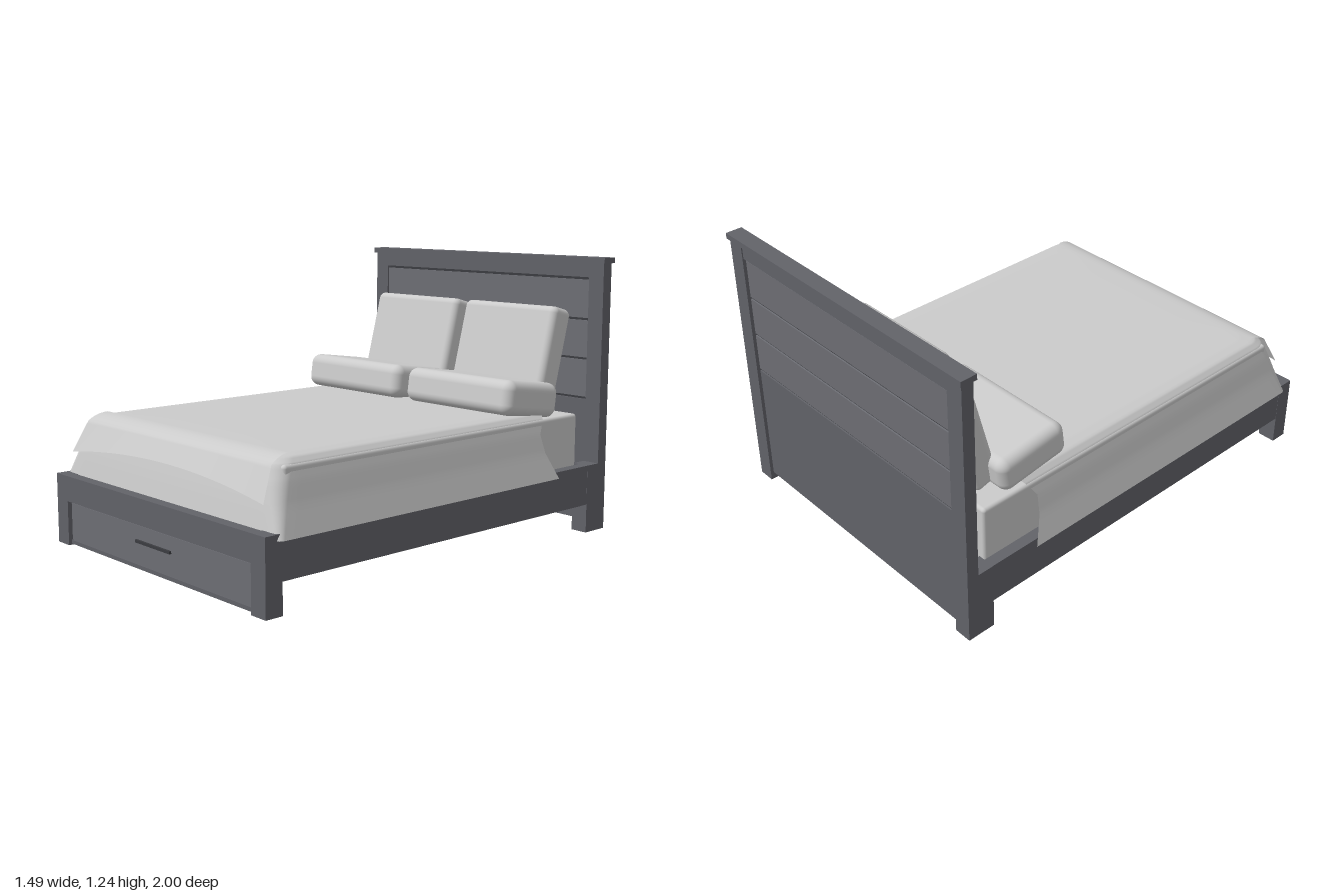
import * as THREE from 'three';
import { RoundedBoxGeometry } from 'three/addons/geometries/RoundedBoxGeometry.js';
import { ParametricGeometry } from 'three/addons/geometries/ParametricGeometry.js';

const wood = new THREE.MeshStandardMaterial({ color: 0x626369 });
const panelWood = new THREE.MeshStandardMaterial({ color: 0x6d6e74 });
const darkWood = new THREE.MeshStandardMaterial({ color: 0x3c3d41 });
const fabric = new THREE.MeshStandardMaterial({ color: 0xcccccc });
const cloth = new THREE.MeshStandardMaterial({ color: 0xcccccc, side: THREE.DoubleSide });

export function createModel() {
  const model = new THREE.Group();

  const add = (name, geometry, material) => {
    const mesh = new THREE.Mesh(geometry, material);
    mesh.name = name;
    model.add(mesh);
    return mesh;
  };
  // Box given by its extents on each axis
  const box = (name, x0, x1, y0, y1, z0, z1, material = wood) => {
    const mesh = add(name, new THREE.BoxGeometry(x1 - x0, y1 - y0, z1 - z0), material);
    mesh.position.set((x0 + x1) / 2, (y0 + y1) / 2, (z0 + z1) / 2);
    return mesh;
  };
  const mirroredBox = (name, x0, x1, ...rest) => {
    box(name, x0, x1, ...rest);
    box(name, -x1, -x0, ...rest);
  };

  // Headboard: posts, top rail, cap and grooved planks
  mirroredBox('headboardPost', 0.65, 0.73, 0, 1.215, -0.99, -0.935);
  mirroredBox('rearLeg', 0.65, 0.73, 0, 0.31, -0.985, -0.86);
  box('headboardTopRail', -0.65, 0.65, 1.15, 1.215, -0.985, -0.937);
  box('headboardCap', -0.74, 0.74, 1.215, 1.24, -1, -0.925);
  box('headboardBacking', -0.65, 0.65, 0.04, 1.15, -0.968, -0.955, darkWood);
  const grooves = [0.03, 0.6, 0.78, 0.96, 1.144];
  for (let i = 0; i < 4; i++) {
    box('headboardPlank', -0.65, 0.65, grooves[i] + 0.005, grooves[i + 1] - 0.006, -0.975, -0.945,
      i ? panelWood : wood);
  }

  // Side rails
  mirroredBox('sideRail', 0.68, 0.729, 0.13, 0.31, -0.95, 0.96);

  // Footboard with drawer
  mirroredBox('frontLeg', 0.645, 0.73, 0, 0.31, 0.92, 1);
  box('footRail', -0.645, 0.645, 0.197, 0.31, 0.95, 1);
  box('footBacking', -0.645, 0.645, 0.01, 0.2, 0.935, 0.965, darkWood);
  box('drawerFront', -0.632, 0.632, 0.028, 0.19, 0.955, 0.988, panelWood);
  box('drawerBottomRail', -0.645, 0.645, 0.005, 0.022, 0.94, 0.985);
  box('drawerHandle', -0.122, 0.122, 0.119, 0.131, 0.985, 0.998, darkWood);

  // Mattress
  const mattress = add('mattress', new RoundedBoxGeometry(1.34, 0.262, 1.71, 3, 0.015), fabric);
  mattress.position.set(0, 0.411, 0.005);

  // Blanket: U-shaped rings (half width, height, back z, front z, corner radius) from hem to centre line
  const rings = [
    [0.745, 0.285, -0.64, 0.95, 0.03],
    [0.705, 0.4, -0.59, 0.925, 0.05],
    [0.682, 0.48, -0.58, 0.905, 0.06],
    [0.662, 0.54, -0.62, 0.885, 0.07],
    [0.635, 0.563, -0.64, 0.86, 0.07],
    [0.58, 0.57, -0.65, 0.81, 0.07],
    [0.3, 0.573, -0.65, 0.7, 0.04],
    [0, 0.573, -0.65, 0.6, 0],
  ];
  const blanket = new ParametricGeometry((u, v, target) => {
    const t = v * (rings.length - 1);
    const i = Math.min(Math.floor(t), rings.length - 2);
    const [w, y, back, front, r] = rings[i].map((a, k) => THREE.MathUtils.lerp(a, rings[i + 1][k], t - i));
    const sign = u < 0.5 ? -1 : 1;
    const s = 1 - Math.abs(2 * u - 1); // 0 at the back edge, 1 at the middle of the foot
    let x, z;
    if (s < 0.6) {
      x = w;
      z = THREE.MathUtils.lerp(back, front - r, s / 0.6);
    } else if (s < 0.75) {
      const a = ((s - 0.6) / 0.15) * Math.PI / 2;
      x = w - r + r * Math.cos(a);
      z = front - r + r * Math.sin(a);
    } else {
      x = (w - r) * (1 - s) / 0.25;
      z = front;
    }
    target.set(sign * x, y, z);
  }, 80, 28);
  blanket.computeVertexNormals();
  add('blanket', blanket, cloth);

  // Loose fold over the foot of the bed, its hem rising in the middle
  const fold = new ParametricGeometry((u, v, target) => {
    const c = 2 * u - 1;
    const hem = 0.41 + 0.05 * (1 - c * c);
    const drop = Math.max(0, v - 0.3) / 0.7;
    const y = v < 0.3 ? 0.576 - 0.03 * (v / 0.3) ** 2 : THREE.MathUtils.lerp(0.546, hem, drop);
    const z = v < 0.3 ? 0.8 + 0.09 * v / 0.3 : 0.89 + 0.065 * drop * (0.75 + 0.25 * c * c);
    target.set(c * (0.62 + 0.045 * v), y, z);
  }, 32, 16);
  fold.computeVertexNormals();
  add('blanketFold', fold, cloth);

  // Pillows: softly bulged rounded boxes
  const pillow = (name, w, h, d, radius, x, y, z, tilt) => {
    const geometry = new RoundedBoxGeometry(w, h, d, 5, radius);
    const mesh = add(name, geometry, fabric);
    mesh.position.set(x, y, z);
    mesh.rotation.x = tilt;
  };
  for (const side of [-1, 1]) {
    pillow('backPillow', 0.55, 0.48, 0.125, 0.03, side * 0.3, 0.778, -0.798, -0.26);
    pillow('frontPillow', 0.635, 0.155, 0.345, 0.045, side * 0.342, 0.632, -0.565, -0.14);
  }

  return model;
}
